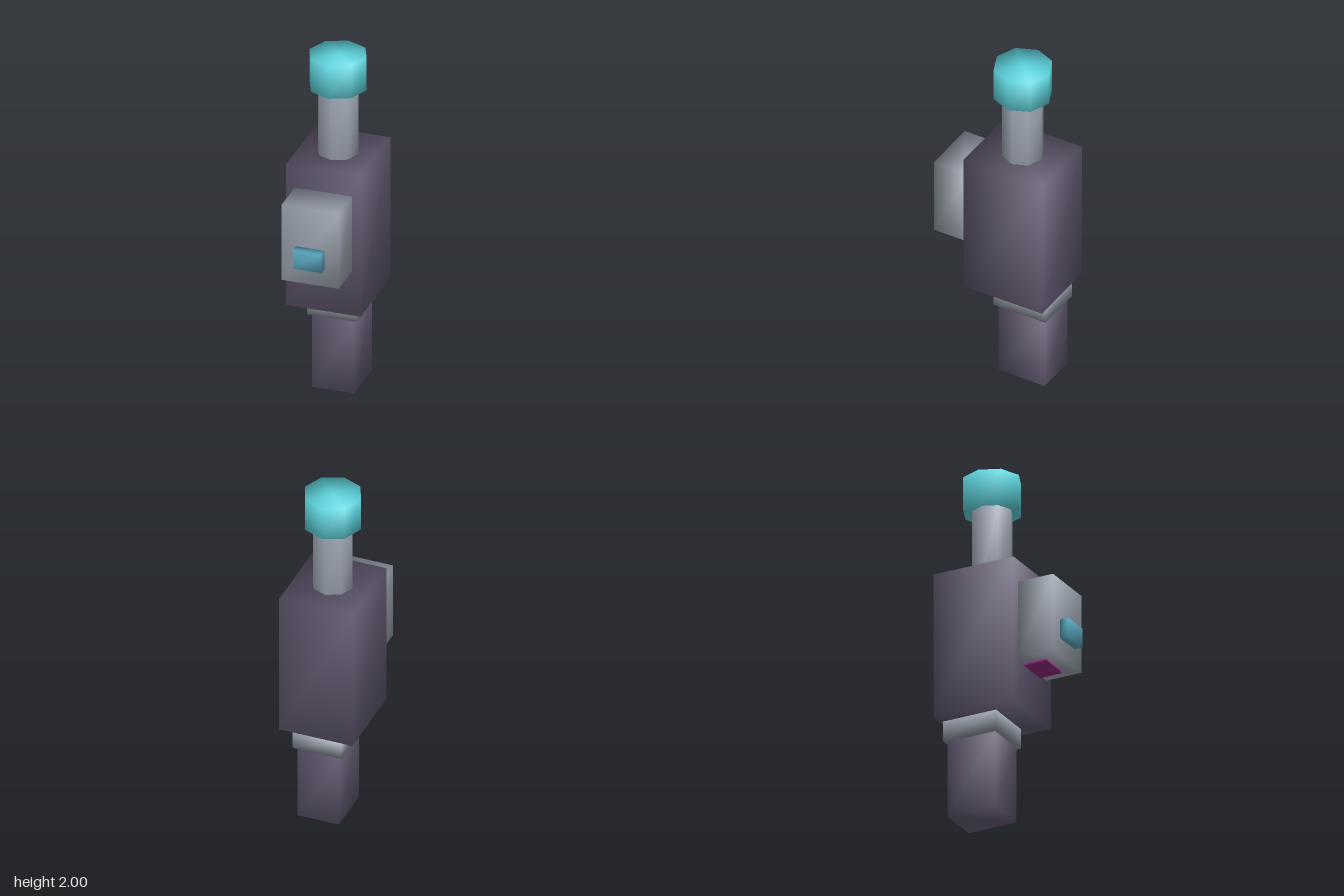
import * as THREE from 'three';
import { mergeVertices } from 'three/addons/utils/BufferGeometryUtils.js';

const paint = (name, color) => {
  const m = new THREE.MeshStandardMaterial({ color });
  m.name = name;
  return m;
};

// Weld the corners so shading runs smoothly around every edge
function soften(geometry) {
  geometry.deleteAttribute('uv');
  geometry.deleteAttribute('normal');
  const welded = mergeVertices(geometry, 1e-4);
  welded.computeVertexNormals();
  return welded;
}

export function createModel() {
  const group = new THREE.Group();
  const purple = paint('dark purple', 0x625971);
  const grey = paint('steel grey', 0x9ba3af);
  const cyan = paint('bright cyan', 0x60d8e2);
  const blue = paint('lens blue', 0x58a6be);
  const magenta = paint('magenta', 0x9a2c86);

  const add = (name, geometry, material, x, y, z) => {
    const mesh = new THREE.Mesh(soften(geometry), material);
    mesh.name = name;
    mesh.position.set(x, y, z);
    group.add(mesh);
  };
  // Box centred on x, given its half width and its y and z ranges
  const box = (name, material, hx, y0, y1, z0, z1) =>
    add(name, new THREE.BoxGeometry(hx * 2, y1 - y0, z1 - z0), material, 0, (y0 + y1) / 2, (z0 + z1) / 2);
  // Upright eight-sided post
  const post = (name, material, r, y0, y1) =>
    add(name, new THREE.CylinderGeometry(r, r, y1 - y0, 8), material, 0, (y0 + y1) / 2, -0.132);

  // Handle and main body
  box('handle', purple, 0.12, 0, 0.445, -0.34, -0.049);
  box('collar', grey, 0.142, 0.445, 0.56, -0.357, -0.032);
  box('body', purple, 0.213, 0.56, 1.41, -0.377, 0.113);

  // Front housing with its button and underside strip
  box('frontHousing', grey, 0.163, 0.825, 1.28, 0.113, 0.328);
  box('frontButton', blue, 0.082, 0.93, 1.042, 0.328, 0.377);
  box('undersideStrip', magenta, 0.088, 0.809, 0.825, 0.113, 0.246);

  // Neck and cap
  post('neck', grey, 0.115, 1.41, 1.805);
  post('cap', cyan, 0.163, 1.805, 2);
  return group;
}
